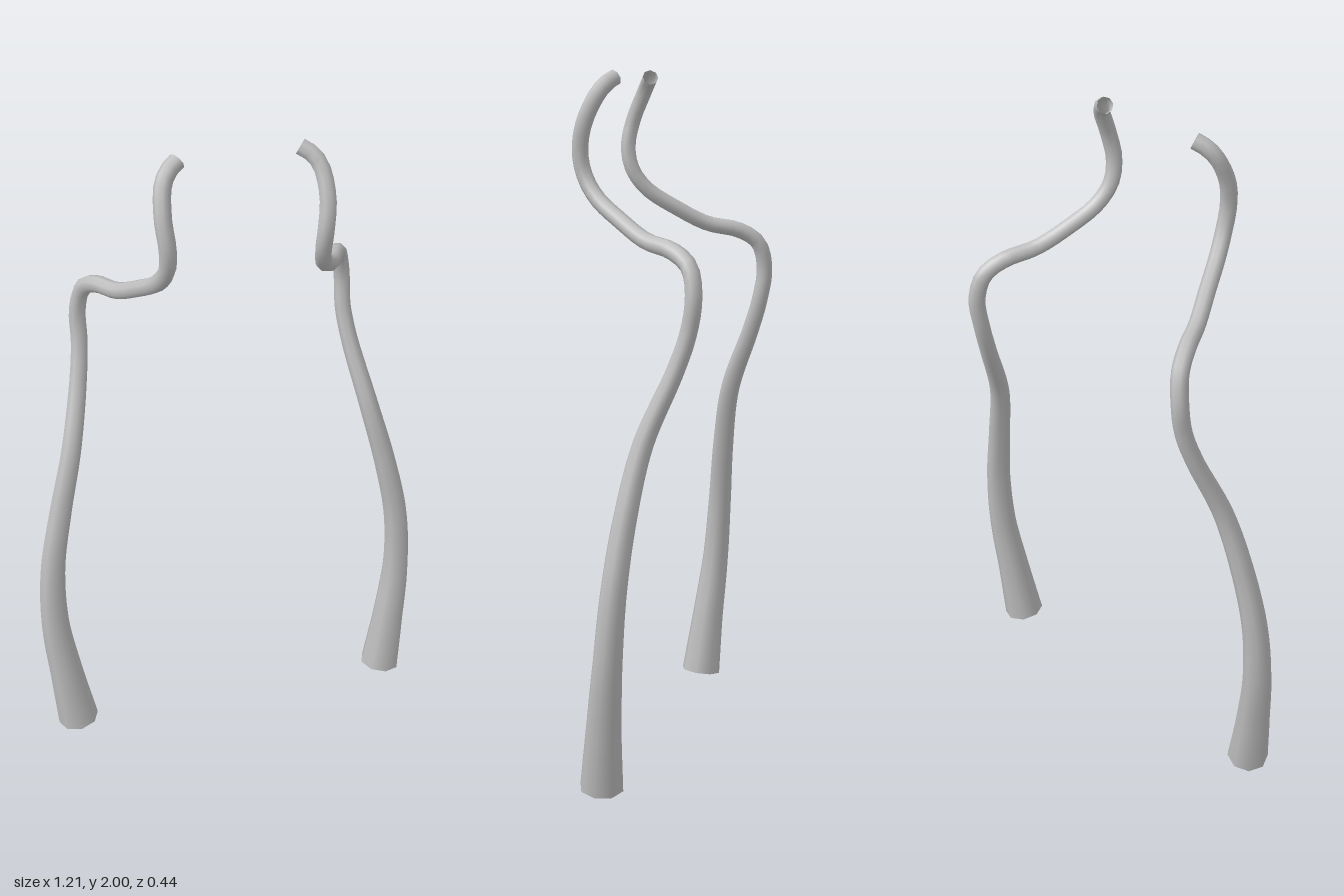
import * as THREE from 'three';

// Centreline stations of the left strand: x, y, z, radius
const STATIONS = [
  [0.515, 0.015, 0.042, 0.064],
  [0.540, 0.20, 0.026, 0.052],
  [0.562, 0.40, 0.006, 0.043],
  [0.555, 0.60, -0.010, 0.038],
  [0.516, 0.80, -0.031, 0.034],
  [0.465, 1.00, -0.067, 0.030],
  [0.419, 1.20, -0.145, 0.026],
  [0.405, 1.30, -0.177, 0.025],
  [0.403, 1.40, -0.192, 0.025],
  [0.386, 1.48, -0.175, 0.025],
  [0.358, 1.52, -0.120, 0.025],
  [0.315, 1.542, -0.030, 0.024],
  [0.272, 1.59, 0.055, 0.024],
  [0.233, 1.65, 0.140, 0.024],
  [0.217, 1.71, 0.182, 0.024],
  [0.218, 1.78, 0.196, 0.024],
  [0.225, 1.86, 0.181, 0.024],
  [0.215, 1.94, 0.144, 0.024],
  [0.194, 1.97, 0.124, 0.024],
  [0.167, 1.986, 0.108, 0.024],
];
const SEGMENTS = 80;
const SIDES = 8;

// Open tube along the stations, with its rings scaled to a varying radius
function strandGeometry(side) {
  const curve = new THREE.CatmullRomCurve3(
    STATIONS.map(([x, y, z]) => new THREE.Vector3(side * x, y, z)));
  const geometry = new THREE.TubeGeometry(curve, SEGMENTS, 1, SIDES, false);
  const position = geometry.attributes.position;
  const point = new THREE.Vector3();
  for (let i = 0; i <= SEGMENTS; i++) {
    const t = curve.getUtoTmapping(i / SEGMENTS) * (STATIONS.length - 1);
    const k = Math.min(Math.floor(t), STATIONS.length - 2);
    const radius = THREE.MathUtils.lerp(STATIONS[k][3], STATIONS[k + 1][3], t - k);
    const centre = curve.getPointAt(i / SEGMENTS);
    for (let j = 0; j <= SIDES; j++) {
      const v = i * (SIDES + 1) + j;
      point.fromBufferAttribute(position, v).sub(centre).multiplyScalar(radius).add(centre);
      position.setXYZ(v, point.x, point.y, point.z);
    }
  }
  return geometry;
}

export function createModel() {
  const model = new THREE.Group();
  model.name = 'pairedStrands';
  const grey = new THREE.MeshStandardMaterial({ color: 0xbfbfbf, side: THREE.DoubleSide });
  grey.name = 'lightGrey';

  // Mirrored pair of tapering strands
  for (const [name, side] of [['leftStrand', 1], ['rightStrand', -1]]) {
    const strand = new THREE.Mesh(strandGeometry(side), grey);
    strand.name = name;
    model.add(strand);
  }
  return model;
}
